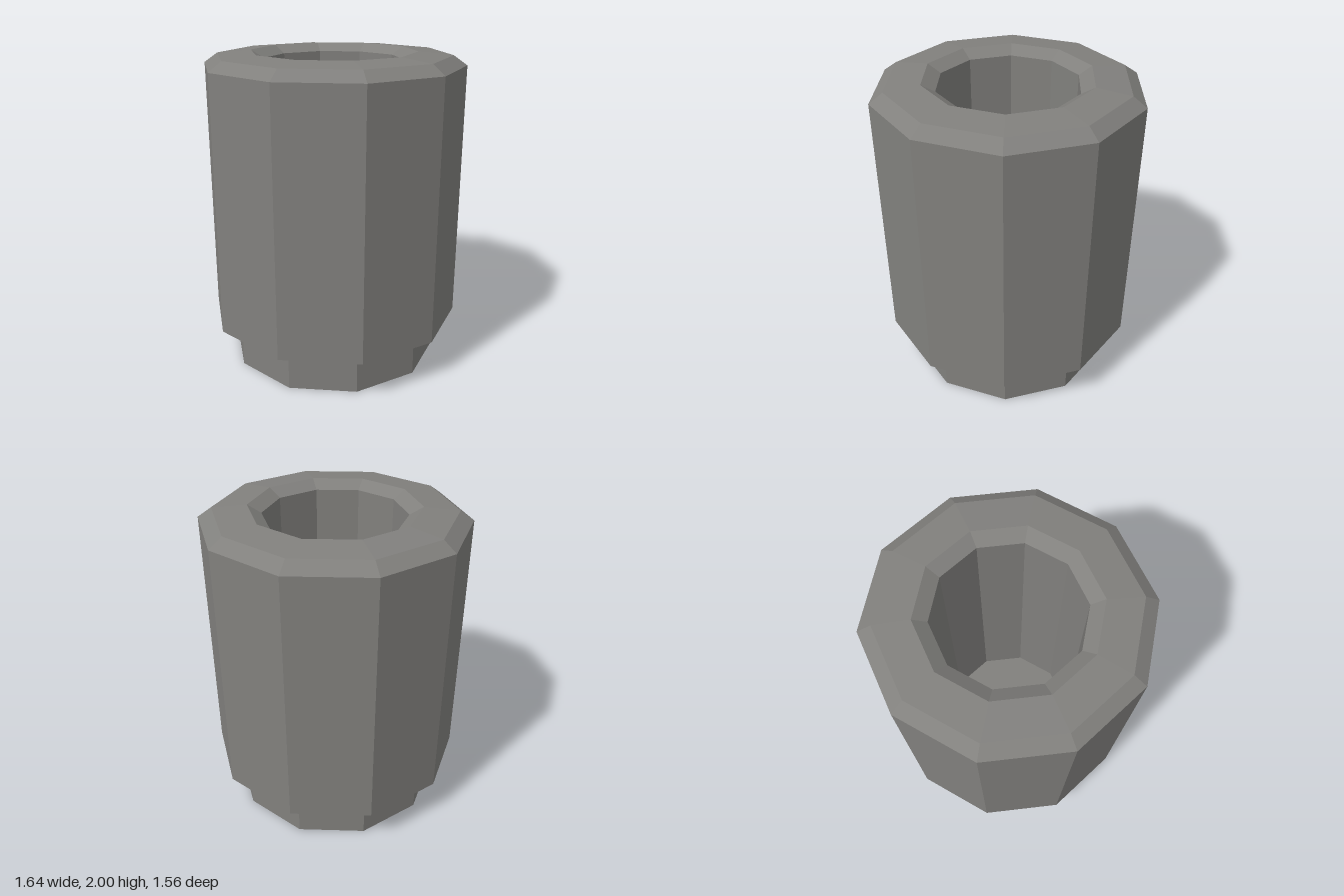
import * as THREE from 'three';

const SIDES = 10;

// Faceted ring of revolution, with corners lying on the x axis
function facetedLathe(profile) {
  const points = profile.map(([r, y]) => new THREE.Vector2(r, y));
  const lathe = new THREE.LatheGeometry(points, SIDES, Math.PI / SIDES);
  const flat = lathe.toNonIndexed();
  flat.computeVertexNormals();
  return flat;
}

export function createModel() {
  const group = new THREE.Group();
  const grey = new THREE.MeshStandardMaterial({ color: 0x81807d });
  grey.name = 'grey';

  const parts = {
    // Narrow closed foot
    foot: [[0, 0], [0.685, 0], [0.685, 0.205]],
    // Outer wall with bevels at both ends
    body: [[0.685, 0.205], [0.82, 0.275], [0.82, 1.92], [0.735, 1.98]],
    // Gently sloping top
    rim: [[0.735, 1.98], [0.52, 2]],
    // Bevelled mouth, inner wall and floor
    socket: [[0.52, 2], [0.437, 1.95], [0.437, 0.21], [0, 0.21]],
  };

  for (const [name, profile] of Object.entries(parts)) {
    const mesh = new THREE.Mesh(facetedLathe(profile), grey);
    mesh.name = name;
    group.add(mesh);
  }
  return group;
}
